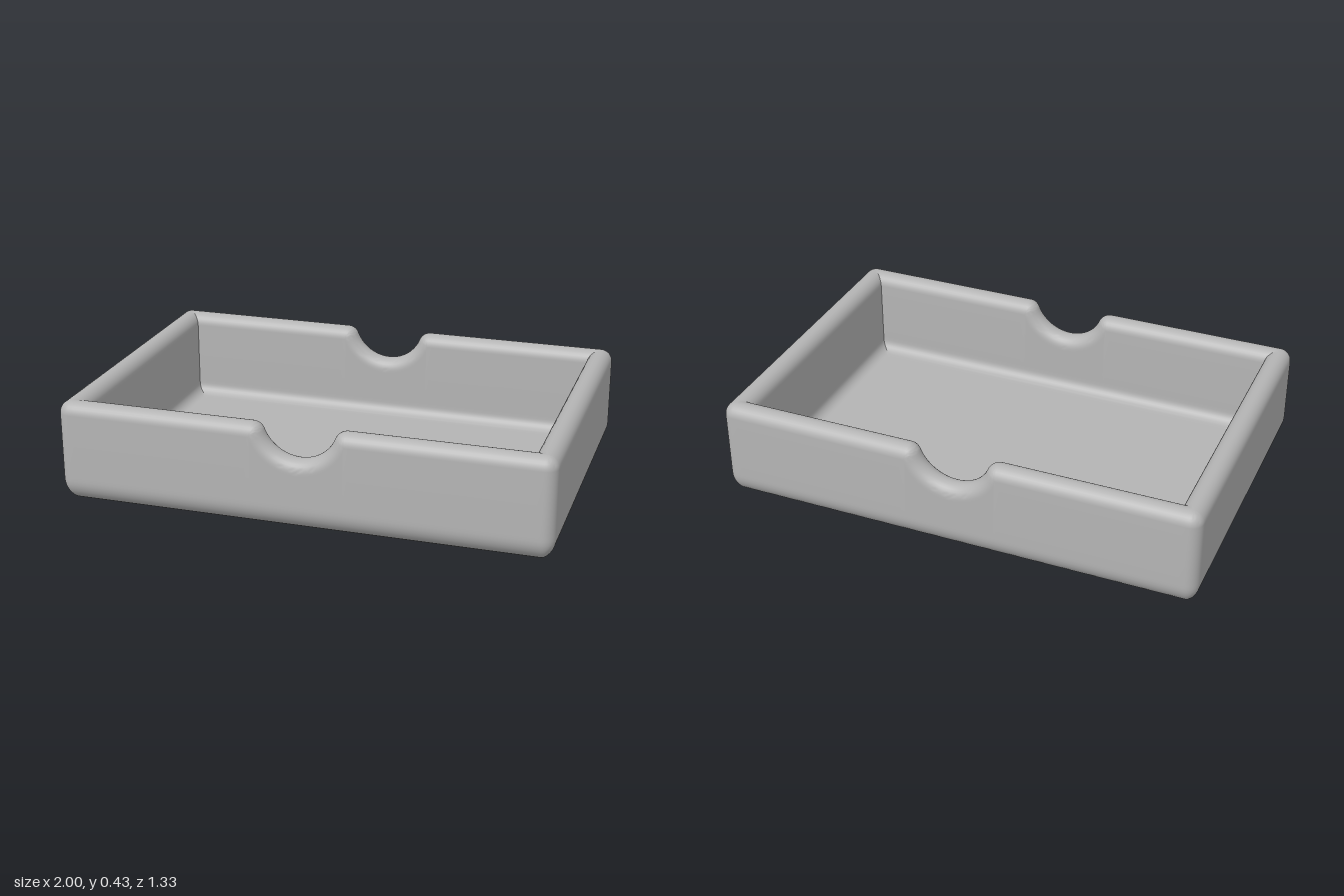
import * as THREE from 'three';
import { toCreasedNormals } from 'three/addons/utils/BufferGeometryUtils.js';

const HX = 1, HZ = 0.667, TOP = 0.43;   // half width, half depth, height
const RIM = 0.05;                       // rim radius, half the wall thickness
const BASE = 0.1;                       // outer bottom fillet
const FLOOR = 0.055, COVE = 0.045;      // floor height and inner fillet
const NOTCH_R = 0.155, NOTCH_LOW = 0.3; // finger notch

// Crest of a long wall from -x to +x: { x, y, nx, ny }, dipping into the notch
function notchCrest() {
  const shoulderY = TOP - RIM, centerY = NOTCH_LOW + NOTCH_R;
  const sweep = Math.acos((centerY - shoulderY) / (NOTCH_R + RIM));
  const shoulderX = (NOTCH_R + RIM) * Math.sin(sweep);
  const half = [];
  for (let k = 1; k <= 14; k++) {
    const a = sweep * k / 14;
    half.push({ x: NOTCH_R * Math.sin(a), y: centerY - NOTCH_R * Math.cos(a), nx: -Math.sin(a), ny: Math.cos(a) });
  }
  for (let k = 1; k <= 8; k++) {
    const a = sweep * (1 - k / 8);
    half.push({ x: shoulderX - RIM * Math.sin(a), y: shoulderY + RIM * Math.cos(a), nx: -Math.sin(a), ny: Math.cos(a) });
  }
  half.push({ x: shoulderX + 0.02, y: TOP, nx: 0, ny: 1 });
  const mirrored = half.map(p => ({ ...p, x: -p.x, nx: -p.nx })).reverse();
  return [...mirrored, { x: 0, y: NOTCH_LOW, nx: 0, ny: 1 }, ...half];
}

// Wall section from under the base, over the rim, to the middle of the floor.
// d is the depth below the crest; y is an absolute height.
function wallSection() {
  const rows = [{ inset: BASE + 0.02, y: 0, cap: true }, { inset: BASE + 0.02, y: 0 }];
  for (let k = 0; k <= 10; k++) {
    const a = Math.PI / 2 * k / 10;
    rows.push({ inset: BASE * (1 - Math.sin(a)), y: BASE * (1 - Math.cos(a)) });
  }
  rows.push({ inset: 0, y: BASE + 0.015 }, { inset: 0, d: RIM + 0.01, drop: true });
  for (let k = 0; k <= 16; k++) {
    const a = Math.PI * k / 16;
    rows.push({ inset: RIM * (1 - Math.cos(a)), d: RIM * (1 - Math.sin(a)) });
  }
  const inner = 2 * RIM;
  rows.push({ inset: inner, d: RIM + 0.01, drop: true }, { inset: inner, y: FLOOR + COVE + 0.015 });
  for (let k = 0; k <= 8; k++) {
    const a = Math.PI / 2 * k / 8;
    rows.push({ inset: inner + COVE * (1 - Math.cos(a)), y: FLOOR + COVE * (1 - Math.sin(a)) });
  }
  rows.push({ inset: inner + COVE + 0.02, y: FLOOR }, { inset: inner + COVE + 0.02, y: FLOOR, cap: true });
  return rows;
}

// One closed loop round the tray for a row of the section
function loop(row, crest) {
  const r = Math.max(0, RIM - row.inset);
  const cx = HX - row.inset - r, cz = HZ - row.inset - r;
  const level = row.y !== undefined ? row.y : TOP - row.d;
  const half = [];
  // Long wall with the notch
  half.push([-cx + 0.02, level, cz + r]);
  for (const p of crest) {
    const along = row.d === undefined ? RIM : Math.min(row.d, RIM);
    const x = p.x - p.nx * along;
    let y = level;
    if (row.d !== undefined) y = p.y - p.ny * along - (row.drop ? row.d - RIM : 0);
    half.push([x, y, cz + r]);
  }
  half.push([cx - 0.02, level, cz + r]);
  // Upright corner
  for (let k = 0; k <= 8; k++) {
    const a = Math.PI / 2 * k / 8;
    half.push([cx + r * Math.sin(a), level, cz + r * Math.cos(a)]);
  }
  // Short wall
  half.push([cx + r, level, cz - 0.02], [cx + r, level, -cz + 0.02]);
  // Corner leading to the opposite long wall
  for (let k = 0; k <= 8; k++) {
    const a = Math.PI / 2 * (1 + k / 8);
    half.push([cx + r * Math.sin(a), level, -cz + r * Math.cos(a)]);
  }
  // The other half is the same turned by 180 degrees
  const full = [...half, ...half.map(([x, y, z]) => [-x, y, -z])];
  return row.cap ? full.map(([x, y]) => [x, y, 0]) : full;
}

function trayGeometry() {
  const crest = notchCrest();
  const loops = wallSection().map(row => loop(row, crest));
  const n = loops[0].length, index = [];
  for (let i = 0; i < loops.length - 1; i++) {
    for (let j = 0; j < n; j++) {
      const a = i * n + j, b = i * n + (j + 1) % n;
      index.push(a, b, b + n, a, b + n, a + n);
    }
  }
  const geometry = new THREE.BufferGeometry();
  geometry.setAttribute('position', new THREE.Float32BufferAttribute(loops.flat(2), 3));
  geometry.setIndex(index);
  return toCreasedNormals(geometry, 0.5);
}

export function createModel() {
  const group = new THREE.Group();
  group.name = 'notchedTray';
  const grey = new THREE.MeshStandardMaterial({ color: 0xb4b4b4 });
  grey.name = 'grey';
  const tray = new THREE.Mesh(trayGeometry(), grey);
  tray.name = 'tray';
  group.add(tray);
  return group;
}
